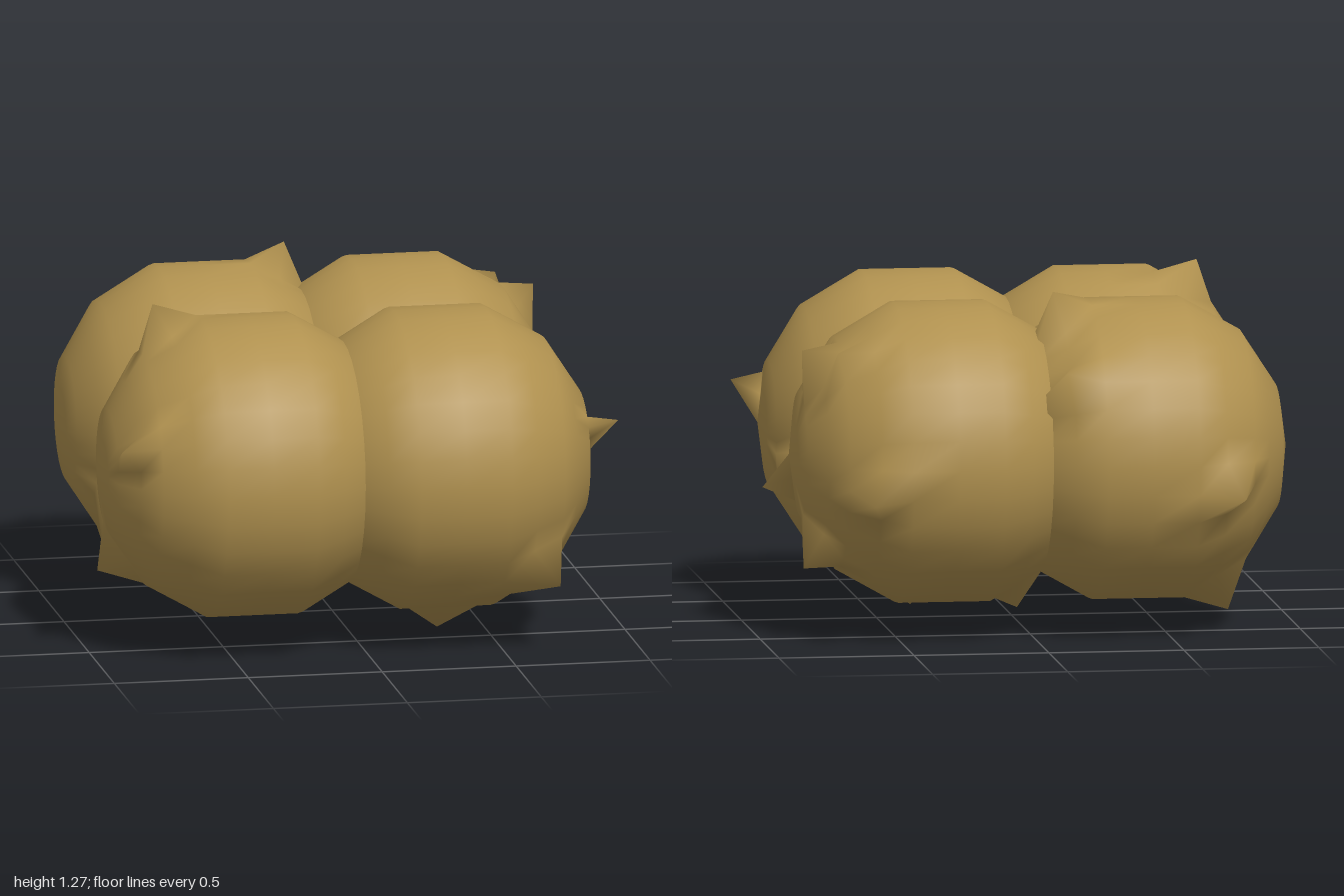
import * as THREE from 'three';
import { mergeVertices } from 'three/addons/utils/BufferGeometryUtils.js';

// Half-profile of one lobe as [radius, distance along x]
const PROFILE = [[0, -0.56], [0.23, -0.52], [0.43, -0.39], [0.555, -0.17],
  [0.555, 0.17], [0.43, 0.39], [0.23, 0.52], [0, 0.56]];

// Each lobe: centre, and the tips to which single surface points are pulled out
const LOBES = [
  { name: 'frontRightLobe', centre: [-0.4, 0.67, 0.44],
    tips: [[-0.73, 1.26, 0.32], [-0.94, 0.83, 0.84], [-0.94, 0.27, 0.34]] },
  { name: 'frontLeftLobe', centre: [0.32, 0.67, 0.44],
    tips: [[0.96, 0.81, 0.58], [0.86, 0.53, 0.04], [0.33, 0, 0.33], [0.7, 0.25, 0.82]] },
  { name: 'backRightLobe', centre: [-0.4, 0.67, -0.4],
    tips: [[-0.08, 1.27, -0.53], [-0.73, 0.55, -1], [-0.08, 1.02, -0.92],
      [-0.73, 0.08, -0.52], [-0.87, 0.33, 0.05]] },
  { name: 'backLeftLobe', centre: [0.32, 0.67, -0.4],
    tips: [[0.96, 0.53, -0.27], [0.64, 0.55, -1], [0.74, 1.08, -0.7],
      [0.85, 1.07, -0.53], [0.85, 0.27, -0.58], [0.02, 0.07, -0.29]] },
];

// Profile with a midpoint on every edge, so that pulled tips stay narrow
function lobeProfile() {
  const points = PROFILE.map(([r, h]) => new THREE.Vector2(r, h));
  return points.flatMap((p, i) =>
    (i < points.length - 1 ? [p, p.clone().lerp(points[i + 1], 0.5)] : [p]));
}

// Lathe-turned ball around x, welded so that it shades smoothly
function lobeGeometry(centre, tips) {
  let geo = new THREE.LatheGeometry(lobeProfile(), 32);
  geo.rotateZ(-Math.PI / 2);
  geo.deleteAttribute('uv');
  geo.deleteAttribute('normal');
  geo = mergeVertices(geo, 1e-4);

  const pos = geo.attributes.position;
  const v = new THREE.Vector3();
  const used = new Set();
  for (const tip of tips) {
    const target = new THREE.Vector3(...tip).sub(new THREE.Vector3(...centre));
    const direction = target.clone().normalize();
    let best = -1, bestDot = -2;
    for (let i = 0; i < pos.count; i++) {
      const dot = v.fromBufferAttribute(pos, i).normalize().dot(direction);
      if (!used.has(i) && dot > bestDot) { bestDot = dot; best = i; }
    }
    used.add(best);
    pos.setXYZ(best, target.x, target.y, target.z);
  }
  geo.computeVertexNormals();
  return geo;
}

export function createModel() {
  const model = new THREE.Group();
  model.name = 'lumpyCluster';
  const ochre = new THREE.MeshStandardMaterial({ color: 0xb0914f });
  ochre.name = 'ochre';

  // Four overlapping lobes
  for (const { name, centre, tips } of LOBES) {
    const lobe = new THREE.Mesh(lobeGeometry(centre, tips), ochre);
    lobe.name = name;
    lobe.position.set(...centre);
    model.add(lobe);
  }

  // Rounded core filling the pit where the four lobes meet
  const core = new THREE.Mesh(new THREE.SphereGeometry(0.34, 24, 16), ochre);
  core.name = 'core';
  core.position.set(-0.04, 0.67, 0.02);
  model.add(core);
  return model;
}
